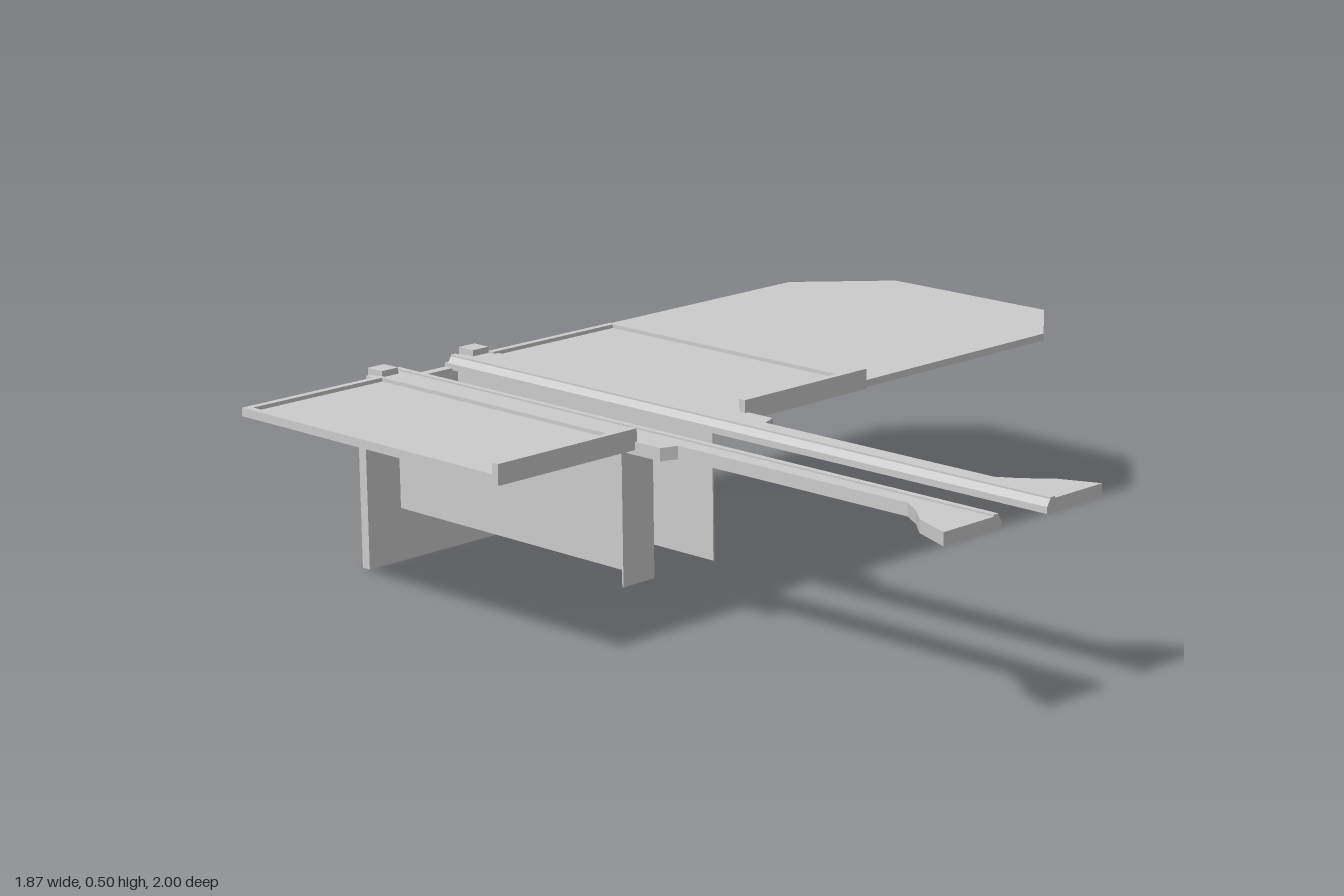
import * as THREE from 'three';

const MID = 0.4175; // z of the slot between the two rails
const mat = new THREE.MeshStandardMaterial({ color: 0xcccccc, side: THREE.DoubleSide, flatShading: true });

function add(parent, name, geometry) {
  const mesh = new THREE.Mesh(geometry, mat);
  mesh.name = name;
  parent.add(mesh);
  return mesh;
}

// box given by its limits on each axis
function box(parent, name, x0, x1, y0, y1, z0, z1) {
  const g = new THREE.BoxGeometry(x1 - x0, y1 - y0, z1 - z0);
  g.translate((x0 + x1) / 2, (y0 + y1) / 2, (z0 + z1) / 2);
  return add(parent, name, g);
}

// horizontal slab from an [x, z] outline
function slab(parent, name, points, y0, y1) {
  const shape = new THREE.Shape(points.map(([x, z]) => new THREE.Vector2(x, -z)));
  const g = new THREE.ExtrudeGeometry(shape, { depth: y1 - y0, bevelEnabled: false });
  g.rotateX(-Math.PI / 2);
  g.translate(0, y0, 0);
  return add(parent, name, g);
}

// upright strip along [x, z, bottom] points
function skirt(parent, name, points, top) {
  const pos = [], index = [];
  points.forEach(([x, z, bottom], i) => {
    pos.push(x, bottom, z, x, top, z);
    if (i) {
      const a = 2 * i - 2;
      index.push(a, a + 2, a + 1, a + 1, a + 2, a + 3);
    }
  });
  const g = new THREE.BufferGeometry();
  g.setAttribute('position', new THREE.Float32BufferAttribute(pos, 3));
  g.setIndex(index);
  g.computeVertexNormals();
  return add(parent, name, g);
}

function rail(name, back) {
  const group = new THREE.Group();
  group.name = name;
  const side = back ? (z) => z : (z) => 2 * MID - z;
  const low = 0.435, top = 0.465;
  const sag = back ? 0.405 : low; // the back flare hangs lower
  const outer = [
    [-0.925, 0.235, low], [0.045, 0.24, low], [0.06, 0.28, low], [0.73, 0.28, low],
    [0.78, 0.25, sag], [0.83, 0.205, sag], [0.93, 0.165, low],
  ].map(([x, z, y]) => [x, side(z), y]);
  const innerZ = side(0.335), edgeZ = side(0.345);

  // thin top sheet with hanging sides
  slab(group, 'railTop', [...outer.map(([x, z]) => [x, z]), [0.93, innerZ], [-0.925, innerZ]], 0.459, top);
  skirt(group, 'railOuterSide', outer, 0.462);
  for (const x of [-0.925, 0.93]) {
    const z = x < 0 ? outer[0][1] : outer[6][1];
    skirt(group, 'railEnd', [[x, z, low], [x, innerZ, low]], 0.462);
  }

  // bevelled inner edge and the low ridge beside it
  const zs = [0.335, 0.345, 0.345, 0.335], ys = [top, 0.45, low, low];
  const edge = new THREE.Shape(zs.map((z, i) => new THREE.Vector2(-side(z), ys[i])));
  const g = new THREE.ExtrudeGeometry(edge, { depth: 1.855, bevelEnabled: false });
  g.rotateY(Math.PI / 2);
  g.translate(-0.925, 0, 0);
  add(group, 'railInnerEdge', g);
  const ridge = [innerZ, side(0.32)].sort((a, b) => a - b);
  box(group, 'railRidge', -0.925, 0.93, 0.463, 0.469, ridge[0], ridge[1]);

  // lug joining the rail to the end plate
  const lug = [side(0.25), side(0.3)].sort((a, b) => a - b);
  box(group, 'plateLug', -0.935, -0.885, 0.44, 0.48, lug[0], lug[1]);
  return group;
}

// shallow tray with thin rims and a tall lip on its left edge
function tray(name, z0, z1) {
  const group = new THREE.Group();
  group.name = name;
  box(group, 'trayDeck', -0.885, -0.04, 0.45, 0.461, z0, z1);
  box(group, 'trayRightRim', -0.885, -0.867, 0.45, 0.47, z0, z1);
  box(group, 'trayBackRim', -0.885, -0.04, 0.45, 0.47, z0, z0 + 0.01);
  if (z0 > MID) box(group, 'trayFrontRim', -0.885, -0.04, 0.45, 0.47, z1 - 0.018, z1);
  box(group, 'trayLip', -0.05, -0.032, 0.447, 0.495, z0, z1);
  return group;
}

export function createModel() {
  const model = new THREE.Group();
  model.name = 'railTable';

  model.add(rail('backRail', true), rail('frontRail', false));
  model.add(tray('backTray', -0.155, 0.25), tray('frontTray', 0.59, 1));

  // long rear leaf with clipped corners
  slab(model, 'rearLeaf', [
    [-0.89, -0.155], [-0.89, -0.8], [-0.7, -1], [-0.2, -1], [-0.035, -0.8], [-0.035, -0.155],
  ], 0.45, 0.467);

  // end plate with a square window
  const plate = new THREE.Shape();
  plate.moveTo(-0.62, 0).lineTo(-0.22, 0).lineTo(-0.22, 0.45).lineTo(-0.345, 0.45)
    .lineTo(-0.345, 0.44).lineTo(-0.49, 0.44).lineTo(-0.49, 0.45).lineTo(-0.62, 0.45).closePath();
  const hole = new THREE.Path();
  hole.moveTo(-0.49, 0.28).lineTo(-0.49, 0.405).lineTo(-0.36, 0.405).lineTo(-0.36, 0.28).closePath();
  plate.holes.push(hole);
  const plateGeo = new THREE.ExtrudeGeometry(plate, { depth: 0.025, bevelEnabled: false });
  plateGeo.rotateY(Math.PI / 2);
  plateGeo.translate(-0.935, 0, 0);
  add(model, 'endPlate', plateGeo);

  // thin aprons under the rails, the front one with an end flange
  box(model, 'backApron', -0.91, -0.06, 0.13, 0.46, 0.323, 0.327);
  box(model, 'frontApron', -0.91, -0.06, 0.13, 0.46, 0.514, 0.518);
  box(model, 'frontApronFlange', -0.064, -0.06, 0.13, 0.46, 0.515, 0.61);

  return model;
}
